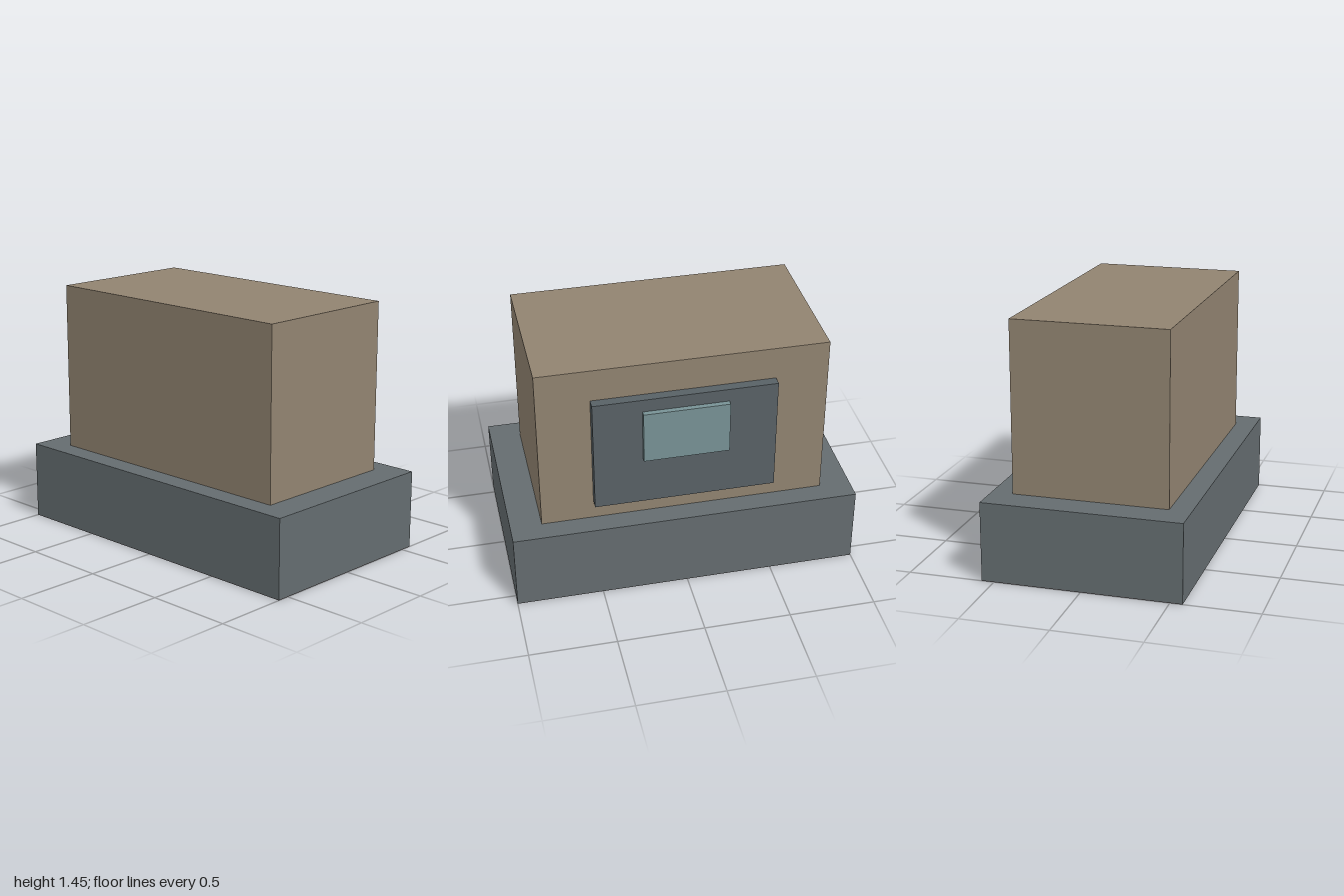
import * as THREE from 'three';

// Box given by its width, its y range and its z range, centred on x = 0
function addBox(group, name, color, width, [y0, y1], [z0, z1]) {
  const mesh = new THREE.Mesh(
    new THREE.BoxGeometry(width, y1 - y0, z1 - z0),
    new THREE.MeshStandardMaterial({ color })
  );
  mesh.name = name;
  mesh.position.set(0, (y0 + y1) / 2, (z0 + z1) / 2);
  group.add(mesh);
}

export function createModel() {
  const model = new THREE.Group();
  model.name = 'cabinetOnPlinth';

  // Thin sole and wide plinth
  addBox(model, 'sole', 0x606062, 2, [0, 0.005], [-0.571, 0.571]);
  addBox(model, 'plinth', 0x646c6f, 2, [0.005, 0.458], [-0.571, 0.571]);

  // Main block
  addBox(model, 'body', 0x918370, 1.64, [0.458, 1.446], [-0.446, 0.446]);

  // Stepped panel on the back
  addBox(model, 'backPanel', 0x586166, 1.04, [0.57, 1.255], [-0.502, -0.446]);
  addBox(model, 'backPlate', 0x789295, 0.487, [0.868, 1.179], [-0.533, -0.502]);

  return model;
}
